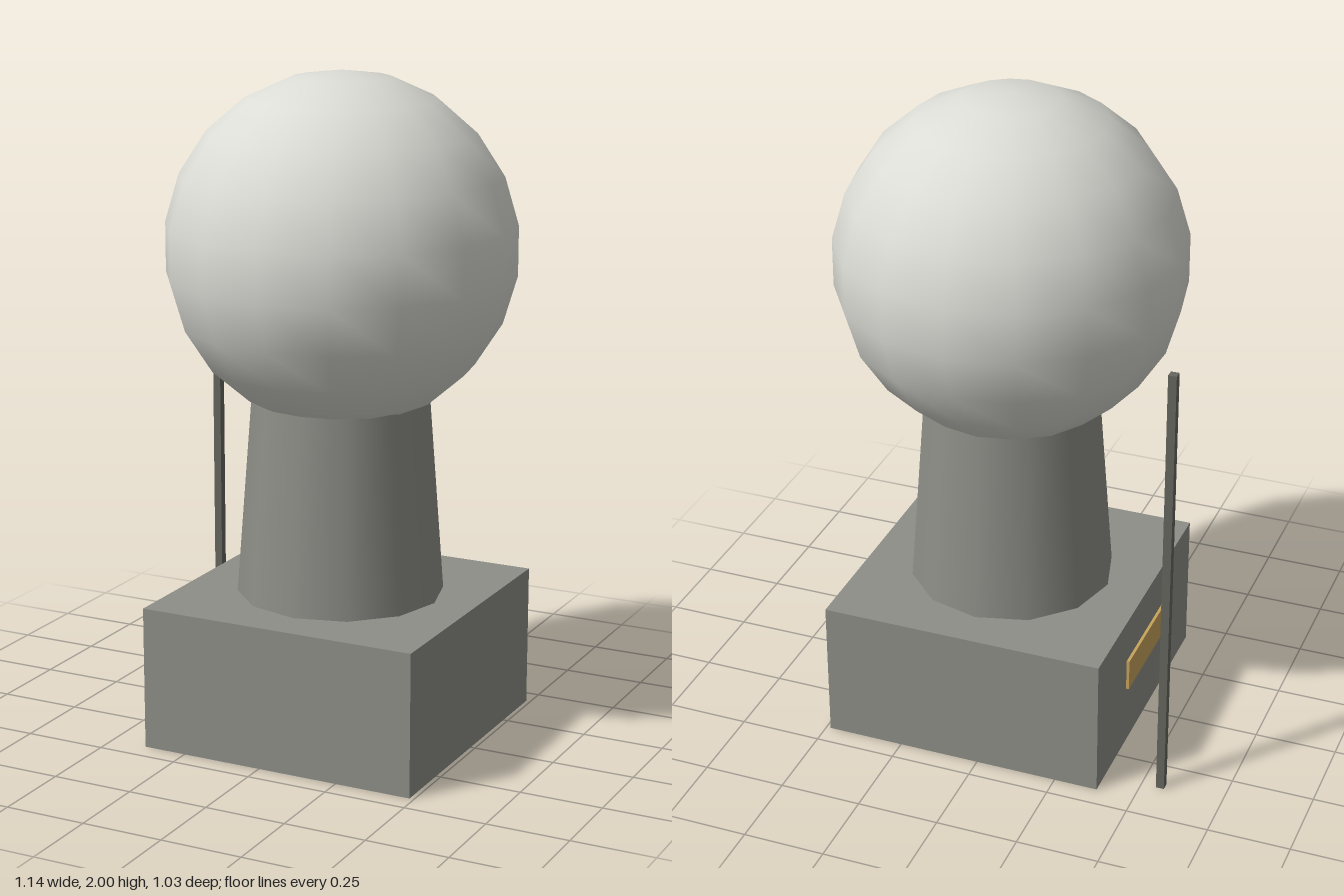
import * as THREE from 'three';

export function createModel() {
  const model = new THREE.Group();
  const mat = (name, color) => {
    const m = new THREE.MeshStandardMaterial({ color });
    m.name = name;
    return m;
  };
  const stone = mat('stone grey', 0x8e8e88);
  const pale = mat('pale grey', 0xdcdcd6);
  const dark = mat('dark grey', 0x66665f);
  const brass = mat('brass', 0xc8a45c);

  const add = (name, geometry, material, x, y, z) => {
    const mesh = new THREE.Mesh(geometry, material);
    mesh.name = name;
    mesh.position.set(x, y, z);
    model.add(mesh);
  };

  const cx = 0.051; // shared axis of plinth, neck and globe

  // Square plinth with a thin plaque on its right side
  add('plinth', new THREE.BoxGeometry(0.87, 0.435, 0.868), stone, cx, 0.2175, 0);
  add('plaque', new THREE.BoxGeometry(0.009, 0.1, 0.35), brass, -0.3885, 0.245, 0);

  // Tapered neck, its top hidden in the globe
  add('neck', new THREE.CylinderGeometry(0.262, 0.311, 0.64, 12), stone, cx, 0.755, 0);

  // Globe
  add('globe', new THREE.SphereGeometry(0.522, 16, 11), pale, cx, 1.478, 0);

  // Free-standing square pole behind on the right
  add('pole', new THREE.BoxGeometry(0.025, 1.392, 0.025), dark, -0.558, 0.696, -0.348);

  return model;
}
